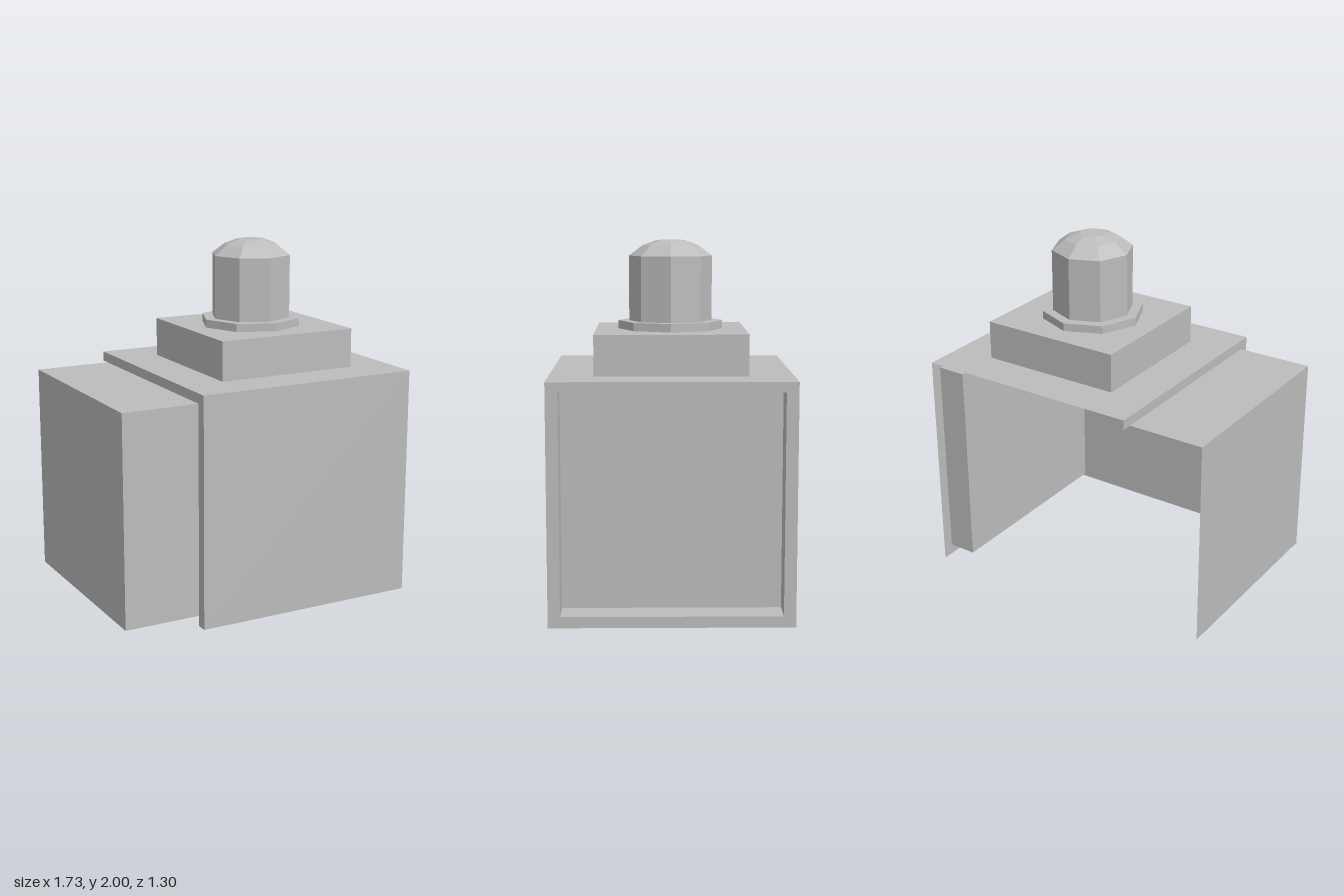
import * as THREE from 'three';

const casing = new THREE.MeshStandardMaterial({ name: 'casing grey', color: 0xbcbcbc, flatShading: true, side: THREE.DoubleSide });

const rect = (u0, v0, u1, v1) => [[u0, v0], [u1, v0], [u1, v1], [u0, v1]].map(([u, v]) => new THREE.Vector2(u, v));
const octagon = (cx, cy, r) => Array.from({ length: 8 }, (_, i) =>
  new THREE.Vector2(cx + r * Math.cos(i * Math.PI / 4), cy + r * Math.sin(i * Math.PI / 4)));

// Thin sheet facing along an axis: x sheets use (-z, y), y sheets (x, -z), z sheets (x, y)
function sheet(group, name, axis, at, outline, hole) {
  const shape = new THREE.Shape(outline);
  if (hole) shape.holes.push(new THREE.Path(hole));
  const geometry = new THREE.ShapeGeometry(shape);
  if (axis === 'x') geometry.rotateY(Math.PI / 2).translate(at, 0, 0);
  else if (axis === 'y') geometry.rotateX(-Math.PI / 2).translate(0, at, 0);
  else geometry.translate(0, 0, at);
  const mesh = new THREE.Mesh(geometry, casing);
  mesh.name = name;
  group.add(mesh);
}

export function createModel() {
  const model = new THREE.Group();
  model.name = 'housing';
  const add = (...args) => sheet(model, ...args);
  const L = -0.43, R = 0.865, Z = 0.65, H = 1.295;
  const pedestal = rect(-0.19, -0.41, 0.63, 0.41);

  // Main shell, open at the back and underneath
  add('mainFront', 'z', Z, rect(L, 0, R, H));
  add('mainTop', 'y', H, rect(L, -Z, R, Z), pedestal);

  // Framed recess on the side
  const w = 0.585, y0 = 0.06, y1 = 1.24, depth = 0.70;
  add('recessFrame', 'x', R, rect(-Z, 0, Z, H), rect(-w, y0, w, y1));
  add('recessPanel', 'x', depth, rect(-w, y0, w, y1));
  for (const s of [-1, 1]) add('recessSide', 'z', s * w, rect(depth, y0, R, y1));
  for (const y of [y0, y1]) add('recessLedge', 'y', y, rect(depth, -w, R, w));

  // Smaller side shell and the step that joins it
  const sz = 0.59, sx = -0.865;
  add('sideFront', 'z', sz, rect(sx, y0, L, y1));
  add('sideTop', 'y', y1, rect(sx, -sz, L, sz));
  add('sideEnd', 'x', sx, rect(-sz, y0, sz, y1));
  add('stepTop', 'x', L, rect(-Z, y1, Z, H));
  add('stepFront', 'x', L, rect(-Z, 0, -sz, y1));

  // Hollow pedestal
  const top = 1.515;
  for (const s of [-1, 1]) add('pedestalWall', 'z', s * 0.41, rect(-0.19, H, 0.63, top));
  for (const x of [-0.19, 0.63]) add('pedestalSide', 'x', x, rect(-0.41, H, 0.41, top));
  add('pedestalTop', 'y', top, pedestal, octagon(0.21, 0, 0.287));

  // Eight-sided flange and domed knob
  const lathe = (name, points) => {
    const profile = points.map(([r, y]) => new THREE.Vector2(r, y));
    const mesh = new THREE.Mesh(new THREE.LatheGeometry(profile, 8), casing);
    mesh.name = name;
    mesh.position.x = 0.21;
    model.add(mesh);
  };
  lathe('flange', [[0.287, top], [0.287, 1.56], [0.228, 1.56]]);
  lathe('knob', [[0.228, 1.56], [0.228, 1.915], [0.153, 1.972], [0.078, 2], [0, 2]]);

  return model;
}
